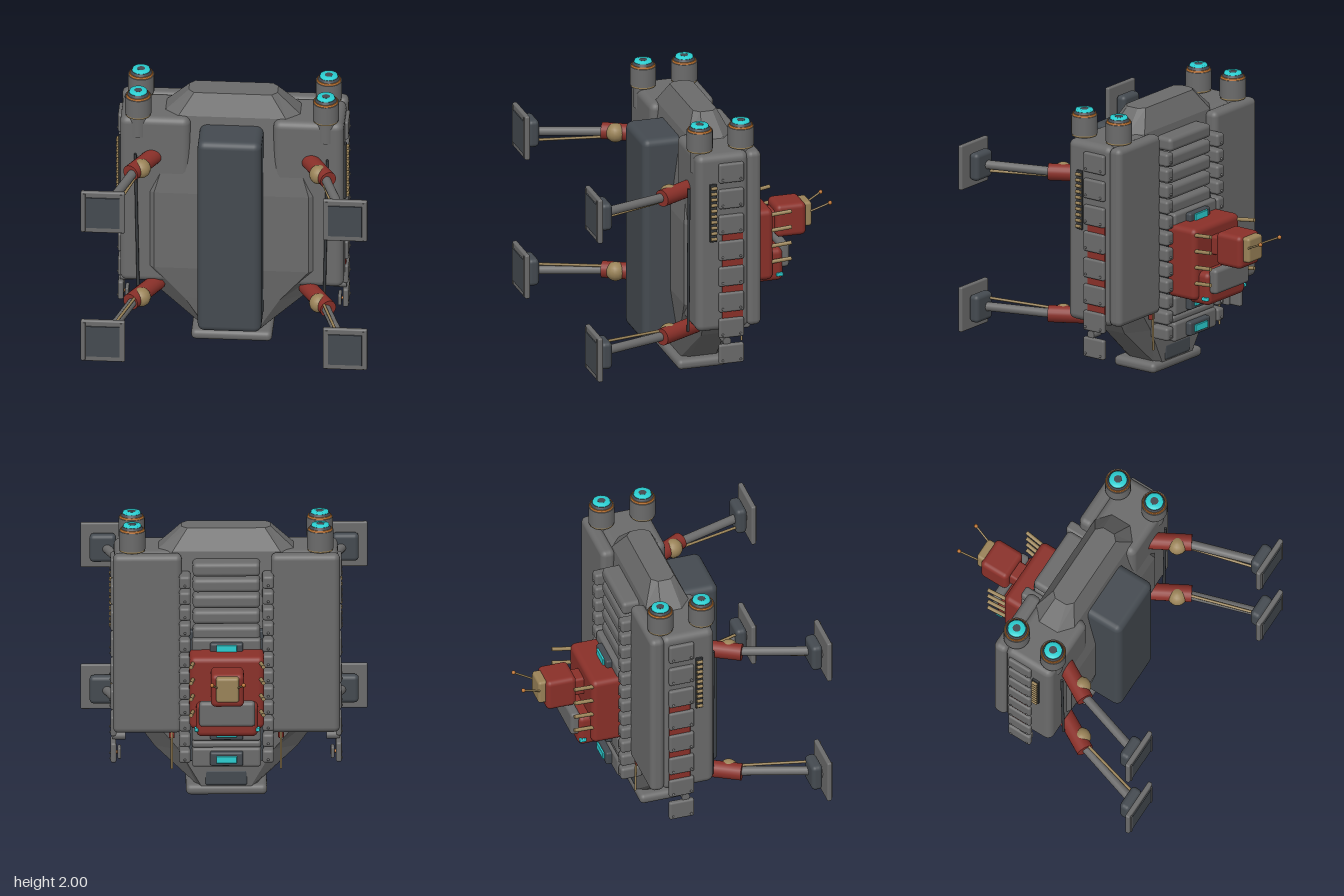
import * as THREE from 'three';
import { RoundedBoxGeometry } from 'three/addons/geometries/RoundedBoxGeometry.js';

const mat = (name, color, extra = {}) => Object.assign(new THREE.MeshStandardMaterial({ color, ...extra }), { name });

export function createModel() {
  const root = new THREE.Group();
  root.name = 'walkerCraft';
  const grey = mat('hull grey', 0x6b6b6b);
  const slate = mat('dark slate', 0x444a50);
  const red = mat('rust red', 0x8a3029);
  const tan = mat('tan', 0x9a8358);
  const cyan = mat('cyan light', 0x2acfd2);
  const copper = mat('copper', 0xb8702f);
  const black = mat('dark rod', 0x36393c);

  const add = (name, geo, m, x = 0, y = 0, z = 0, parent = root) => {
    const mesh = new THREE.Mesh(geo, m);
    mesh.name = name;
    mesh.position.set(x, y, z);
    parent.add(mesh);
    return mesh;
  };
  // rounded box from its min and max corners
  const box = (name, m, [x0, x1], [y0, y1], [z0, z1], r = 0.02) => {
    const w = Math.abs(x1 - x0), h = y1 - y0, d = z1 - z0;
    const rad = Math.min(r, w * 0.45, h * 0.45, d * 0.45);
    return add(name, new RoundedBoxGeometry(w, h, d, 3, rad), m, (x0 + x1) / 2, (y0 + y1) / 2, (z0 + z1) / 2);
  };
  const rod = (name, m, a, b, r0, r1 = r0, seg = 16) => {
    const A = new THREE.Vector3(...a), B = new THREE.Vector3(...b), d = B.clone().sub(A);
    const mesh = add(name, new THREE.CylinderGeometry(r1, r0, d.length(), seg), m);
    mesh.position.copy(A).add(B).multiplyScalar(0.5);
    mesh.quaternion.setFromUnitVectors(new THREE.Vector3(0, 1, 0), d.normalize());
    return mesh;
  };

  // faceted hull: eight-sided sections [y, half width, flat half width, back z, front z, chamfer]
  const sections = [
    [0.08, 0.20, 0.17, -0.17, 0.13, 0.05], [0.36, 0.50, 0.33, -0.19, 0.18, 0.10],
    [0.62, 0.68, 0.54, -0.22, 0.22, 0.10], [1.22, 0.68, 0.54, -0.22, 0.22, 0.10],
    [1.80, 0.47, 0.375, -0.17, 0.14, 0.08], [1.95, 0.31, 0.27, -0.10, 0.07, 0.04]];
  const rings = sections.map(([y, w, f, zb, zf, c]) =>
    [[f, zf], [w, zf - c], [w, zb + c], [f, zb], [-f, zb], [-w, zb + c], [-w, zf - c], [-f, zf]].map(([x, z]) => [x, y, z]));
  const pos = [];
  const tri = (...p) => p.forEach((v) => pos.push(...v));
  for (let k = 0; k + 1 < rings.length; k++) for (let i = 0; i < 8; i++) {
    const j = (i + 1) % 8, a = rings[k], b = rings[k + 1];
    tri(a[i], a[j], b[j]);
    tri(a[i], b[j], b[i]);
  }
  const top = rings[rings.length - 1];
  for (let i = 1; i < 7; i++) {
    tri(top[0], top[i], top[i + 1]);
    tri(rings[0][0], rings[0][i + 1], rings[0][i]);
  }
  const hull = new THREE.BufferGeometry();
  hull.setAttribute('position', new THREE.Float32BufferAttribute(pos, 3));
  hull.computeVertexNormals();
  add('hull', hull, grey);

  // front spine and base slab
  box('frontSpine', slate, [-0.225, 0.22], [0.22, 1.74], [0.05, 0.415], 0.05);
  box('baseSlab', grey, [-0.285, 0.28], [0.02, 0.095], [-0.18, 0.18], 0.035);
  box('basePlug', grey, [-0.065, 0.065], [0, 0.03], [-0.05, 0.05], 0.01);
  box('rearBaseBlock', slate, [-0.15, 0.15], [0.09, 0.21], [-0.18, -0.08], 0.02);

  for (const s of [1, -1]) {
    // side pods
    box('sidePod', grey, [s * 0.29, s * 0.78], [0.485, 1.80], [-0.18, 0.20], 0.05);
    box('podBackSlab', grey, [s * 0.31, s * 0.79], [0.5, 1.80], [-0.27, -0.165], 0.04);
    box('podRedStrip', red, [s * 0.74, s * 0.787], [0.56, 1.23], [-0.135, 0.02], 0.005);
    rod('podFrontRod', black, [s * 0.65, 0.46, 0.225], [s * 0.67, 1.53, 0.225], 0.01);

    // side armour tiles, the last hanging below the pod
    for (let i = 0; i < 8; i++) {
      const y = 1.665 - i * 0.1925;
      box('armourTile', grey, [s * 0.765, s * 0.805], [y - 0.072, y + 0.072], [-0.137, 0.045], 0.015);
      for (const z of [0.02, -0.11]) {
        const b = add('tileBolt', new THREE.SphereGeometry(0.009, 8, 6), grey, s * 0.806, y - 0.045, z);
        b.scale.x = 0.8;
      }
    }
    box('hangingTag', grey, [s * 0.73, s * 0.755], [0.25, 0.33], [-0.06, 0.03], 0.01);
    rod('hangingPin', grey, [s * 0.70, 0.41, -0.015], [s * 0.79, 0.41, -0.015], 0.03);
    rod('hangingBolt', copper, [s * 0.755, 0.29, -0.015], [s * 0.768, 0.29, -0.015], 0.012);

    // cartridge rack
    box('cartridgeRack', black, [s * 0.77, s * 0.795], [1.16, 1.59], [0.058, 0.11], 0.005);
    for (let i = 0; i < 10; i++)
      rod('cartridge', tan, [s * 0.802, 1.185 + i * 0.042, 0.063], [s * 0.802, 1.185 + i * 0.042, 0.105], 0.012, 0.012, 8);

    // rear cable and small red clip
    rod('rearCable', tan, [s * 0.38, 0.24, -0.25], [s * 0.38, 0.52, -0.245], 0.008, 0.008, 8);
    box('rearClip', red, [s * 0.36, s * 0.40], [0.46, 0.53], [-0.25, -0.22], 0.008);

    // thrusters on top of the pods
    for (const z of [0.143, -0.158]) {
      const x = s * 0.655;
      const turn = (name, m, pts) => add(name, new THREE.LatheGeometry(pts.map((p) => new THREE.Vector2(...p)), 28), m, x, 0, z);
      rod('thrusterNeck', grey, [x, 1.65, z], [x, 1.82, z], 0.068, 0.068, 28);
      rod('thrusterBand', tan, [x, 1.808, z], [x, 1.822, z], 0.088, 0.088, 28);
      rod('thrusterBarrel', grey, [x, 1.82, z], [x, 1.955, z], 0.092, 0.092, 28);
      rod('thrusterRim', copper, [x, 1.955, z], [x, 1.968, z], 0.086, 0.082, 28);
      rod('thrusterCap', slate, [x, 1.968, z], [x, 1.985, z], 0.076, 0.066, 28);
      turn('thrusterGlow', cyan, [[0.064, 1.98], [0.06, 1.998], [0.028, 1.998]]);
      rod('thrusterCore', slate, [x, 1.98, z], [x, 1.9985, z], 0.028, 0.028, 20);
    }

    // legs with square feet; the thin strut sits on the inner side of each pair
    for (const [y, side] of [[1.49, -1], [0.455, 1]]) {
      const fx = s * 0.845;
      rod('hip', red, [s * 0.52, y, 0.13], [s * 0.69, y, 0.43], 0.06, 0.06, 20);
      add('kneeJoint', new THREE.SphereGeometry(0.068, 16, 10), tan, s * 0.62, y, 0.355);
      rod('shin', grey, [s * 0.66, y, 0.38], [s * 0.825, y, 0.90], 0.032, 0.032, 16);
      rod('strut', tan, [s * 0.65, y + side * 0.035, 0.40], [s * 0.79, y + side * 0.055, 0.89], 0.01, 0.01, 8);
      box('ankle', slate, [fx - 0.092, fx + 0.092], [y - 0.1, y + 0.1], [0.865, 0.945], 0.03);
      box('footPlate', grey, [fx - 0.155, fx + 0.155], [y - 0.163, y + 0.163], [0.955, 0.99], 0.012);
      rod('footPin', grey, [fx, y, 0.94], [fx, y, 0.96], 0.05);
      add('footSole', new THREE.BoxGeometry(0.236, 0.24, 0.009), slate, fx, y, 0.993);
      for (const e of [-1, 1])
        add('footRail', new THREE.BoxGeometry(0.012, 0.3, 0.01), grey, fx + e * 0.128, y, 0.994);
    }

    // small segments flanking the rear channel
    for (let i = 0; i < 12; i++) {
      const y = 1.62 - i * 0.1155;
      box('channelSegment', grey, [s * 0.25, s * 0.33], [y - 0.047, y + 0.047], [-0.335, -0.18], 0.02);
      add('segmentStud', new THREE.SphereGeometry(0.009, 8, 6), grey, s * 0.29, y - 0.02, -0.335);
    }

    // rider spines, side lights and antennae
    for (let i = 0; i < 4; i++) {
      const y = 1.09 - i * 0.117;
      rod('riderSpine', tan, [s * 0.235, y, -0.50], [s * 0.252, y + 0.018, -0.655], 0.014, 0.014, 10);
    }
    box('riderSideLight', cyan, [s * 0.20, s * 0.228], [0.62, 0.645], [-0.605, -0.555], 0.006);
    rod('antenna', tan, [s * 0.075, 1.02, -0.85], [s * 0.11, 1.08, -0.98], 0.007, 0.007, 8);
    add('antennaTip', new THREE.SphereGeometry(0.015, 12, 8), copper, s * 0.11, 1.08, -0.982);
  }

  // rear channel ribs
  for (let i = 0; i < 5; i++) {
    const y = 1.70 - i * 0.1155;
    box('channelRib', grey, [-0.235, 0.235], [y - 0.05, y + 0.05], [-0.295, -0.12], 0.03);
  }
  box('channelFloor', slate, [-0.26, 0.26], [0.3, 1.25], [-0.27, -0.15], 0.01);

  // lit consoles above and below the rider
  for (const [y, h, z] of [[1.155, 0.035, -0.375], [0.535, 0.05, -0.375], [0.345, 0.05, -0.375]]) {
    box('consoleBase', grey, [-0.24, 0.24], [y - h - 0.02, y + h + 0.02], [-0.335, -0.2], 0.02);
    box('console', slate, [-0.115, 0.115], [y - h, y + h], [z, -0.25], 0.015);
    box('consoleLight', cyan, [-0.072, 0.072], [y - 0.025, y + 0.025], [z - 0.014, z + 0.01], 0.005);
  }
  box('lowerRib', grey, [-0.24, 0.24], [0.41, 0.46], [-0.32, -0.2], 0.02);

  // rider clinging to the rear
  box('riderBody', red, [-0.26, 0.26], [0.61, 1.135], [-0.525, -0.27], 0.04);
  box('riderBelly', red, [-0.215, 0.215], [0.58, 0.82], [-0.61, -0.42], 0.04);
  box('riderPack', grey, [-0.195, 0.195], [0.67, 0.85], [-0.66, -0.59], 0.025);
  box('riderNeck', red, [-0.07, 0.07], [0.91, 1.05], [-0.62, -0.5], 0.02);
  box('riderHead', red, [-0.115, 0.115], [0.86, 1.10], [-0.81, -0.59], 0.035);
  box('riderMuzzle', tan, [-0.08, 0.08], [0.91, 1.09], [-0.86, -0.79], 0.02);
  return root;
}
